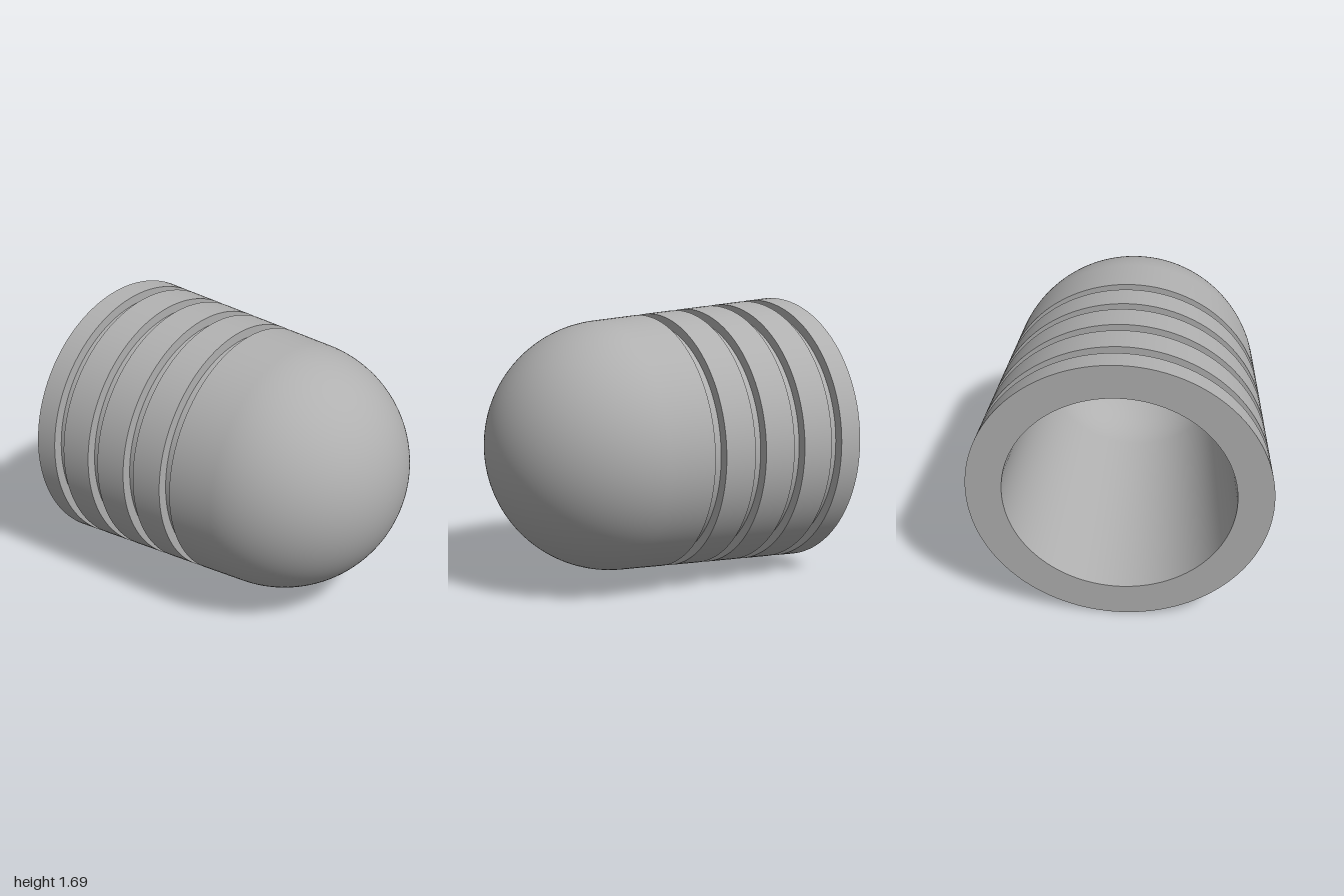
import * as THREE from 'three';

const SEGMENTS = 128;
const AXIS_Y = 0.845;      // height of the centre line
const DOME_X = 0.247;      // centre of the rounded nose
const DOME_R = 0.753;
const WALL = 0.2;
const SLOPE = 0.072;
const TILT = Math.atan(SLOPE);
const GROOVE_WIDTH = 0.073;
const GROOVES = [[-0.863, 0.782], [-0.596, 0.763], [-0.327, 0.742], [-0.06, 0.723]]; // start, floor radius

const outerRadius = (x) => 0.773 - SLOPE * x;

// Quarter arc from the taper's tangent point to the tip, as [x, radius] pairs
function domeArc(radius) {
  const points = [];
  for (let i = 0; i <= 40; i++) {
    const a = TILT + (Math.PI / 2 - TILT) * (i / 40);
    points.push([DOME_X + radius * Math.sin(a), i === 40 ? 0 : radius * Math.cos(a)]);
  }
  return points;
}

export function createModel() {
  const group = new THREE.Group();
  group.name = 'groovedCap';
  const grey = new THREE.MeshStandardMaterial({ color: 0xb0b0b0 });
  grey.name = 'grey';

  // Each smooth run of the profile is its own lathe, so edges stay sharp
  function turn(name, profile) {
    const geometry = new THREE.LatheGeometry(profile.map(([x, r]) => new THREE.Vector2(r, x)), SEGMENTS);
    geometry.rotateZ(-Math.PI / 2);
    const mesh = new THREE.Mesh(geometry, grey);
    mesh.name = name;
    mesh.position.y = AXIS_Y;
    group.add(mesh);
  }

  // Hollow inside, from the rounded end back to the opening
  const innerRim = outerRadius(-1) - WALL;
  turn('innerWall', [...domeArc(DOME_R - WALL).reverse(), [-1, innerRim]]);
  turn('openRim', [[-1, innerRim], [-1, outerRadius(-1)]]);

  // Tapered bands with square grooves between them
  let start = -1;
  GROOVES.forEach(([x, floor], i) => {
    const end = x + GROOVE_WIDTH;
    turn(`band${i + 1}`, [[start, outerRadius(start)], [x, outerRadius(x)]]);
    turn(`grooveRearWall${i + 1}`, [[x, outerRadius(x)], [x, floor]]);
    turn(`grooveFloor${i + 1}`, [[x, floor], [end, floor]]);
    turn(`grooveFrontWall${i + 1}`, [[end, floor], [end, outerRadius(end)]]);
    start = end;
  });

  // Last taper running smoothly into the nose
  turn('roundedNose', [[start, outerRadius(start)], ...domeArc(DOME_R)]);
  return group;
}
